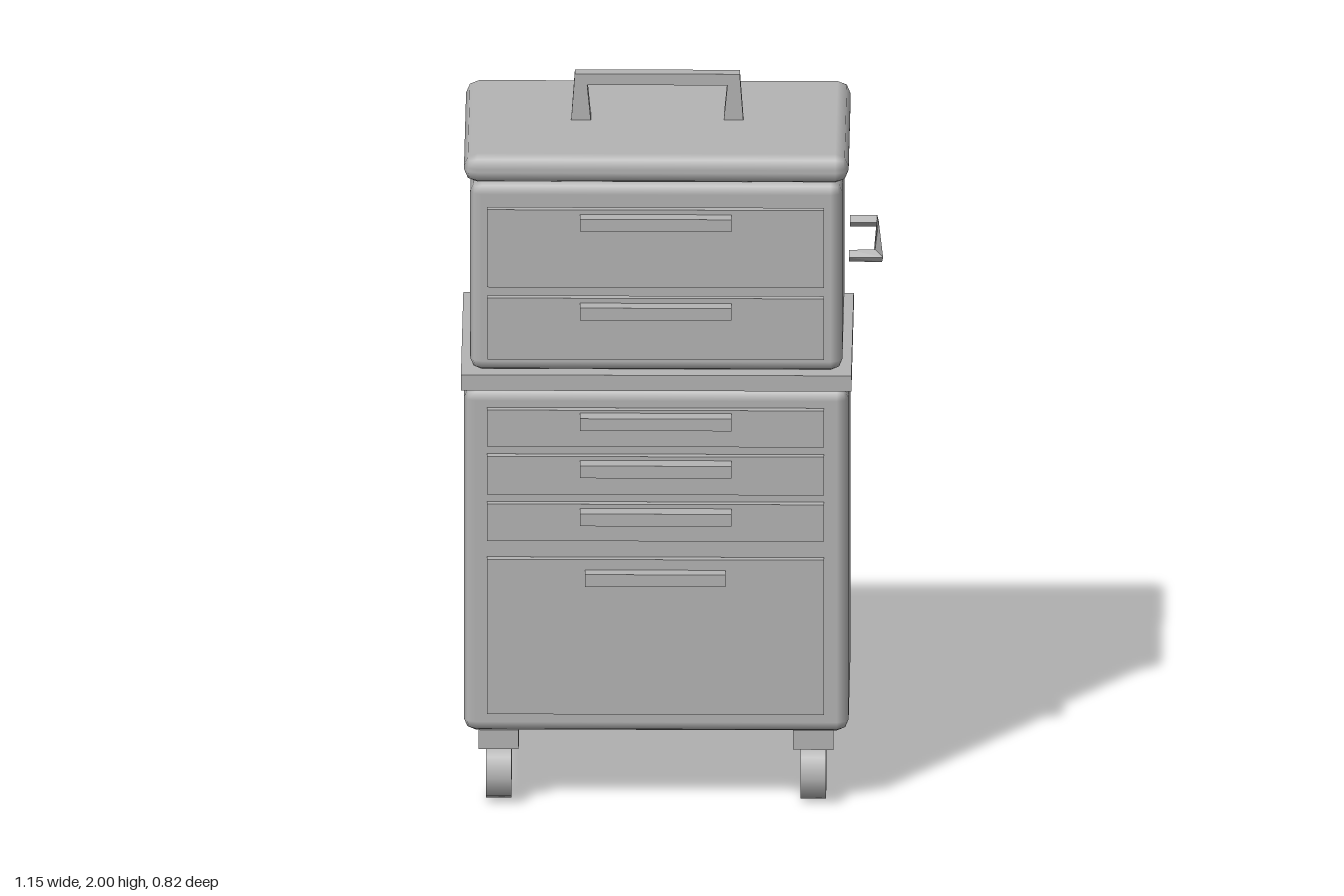
import * as THREE from 'three';
import { RoundedBoxGeometry } from 'three/addons/geometries/RoundedBoxGeometry.js';

export function createModel() {
  const root = new THREE.Group();
  root.name = 'rollingToolCabinet';
  const grey = new THREE.MeshStandardMaterial({ color: 0xb4b4b4, side: THREE.DoubleSide });
  grey.name = 'plain grey';

  const add = (name, geometry) => {
    const mesh = new THREE.Mesh(geometry, grey);
    mesh.name = name;
    root.add(mesh);
    return mesh;
  };
  // Box given by its limits on each axis; a radius rounds its edges
  const block = (name, [x0, x1], [y0, y1], [z0, z1], radius = 0) => {
    const size = [x1 - x0, y1 - y0, z1 - z0];
    const geometry = radius
      ? new RoundedBoxGeometry(...size, 1, radius)
      : new THREE.BoxGeometry(...size);
    add(name, geometry).position.set((x0 + x1) / 2, (y0 + y1) / 2, (z0 + z1) / 2);
  };

  // Cabinet bodies, shelf between them and lid
  block('lowerCabinet', [-0.572, 0.482], [0.213, 1.2], [-0.4, 0.333], 0.032);
  block('shelf', [-0.58, 0.49], [1.2, 1.245], [-0.41, 0.342]);
  block('upperCabinet', [-0.555, 0.465], [1.245, 1.788], [-0.384, 0.318], 0.032);
  block('lid', [-0.572, 0.482], [1.787, 1.868], [-0.401, 0.333], 0.036);

  // Drawers: bottom, top, front of panel, bottom of pull
  const drawers = [
    [1.505, 1.728, 0.367, 1.68], [1.298, 1.474, 0.367, 1.425],
    [1.045, 1.15, 0.361, 1.107], [0.907, 1.017, 0.361, 0.971],
    [0.774, 0.88, 0.361, 0.833], [0.276, 0.721, 0.361, 0.656],
  ];
  drawers.forEach(([y0, y1, z, pull], i) => {
    const last = i === drawers.length - 1;
    block('drawer' + (i + 1), [-0.509, 0.415], [y0, y1], [z - 0.024, z]);
    block('drawerPull' + (i + 1), last ? [-0.24, 0.145] : [-0.253, 0.162],
      [pull, pull + 0.035], [z, last ? 0.403 : 0.412]);
  });

  // Casters: mounting plate and eight-sided wheel
  const wheel = new THREE.CylinderGeometry(0.079, 0.079, 0.07, 8).rotateZ(Math.PI / 2);
  for (const x of [-0.477, 0.385]) {
    for (const z of [0.255, -0.32]) {
      block('casterPlate', [x - 0.055, x + 0.055], [0.16, 0.215], [z - 0.056, z + 0.056]);
      add('casterWheel', wheel).position.set(x, 0.081, z);
    }
  }

  // Lid handle: an arch with tapered legs, bevelled toward the back
  const cx = -0.045;
  const arch = new THREE.Shape([
    [-0.236, 1.865], [-0.226, 2], [0.226, 2], [0.236, 1.865],
    [0.182, 1.865], [0.192, 1.968], [-0.192, 1.968], [-0.182, 1.865],
  ].map(([x, y]) => new THREE.Vector2(x, y)));
  const handle = new THREE.ExtrudeGeometry(arch, { depth: 0.06, steps: 3, bevelEnabled: false });
  const p = handle.attributes.position;
  for (let i = 0; i < p.count; i++) {
    const x = p.getX(i), y = p.getY(i);
    if (p.getZ(i) < 0.01 && Math.abs(x) > 0.21) {
      p.setX(i, x - Math.sign(x) * 0.018);
      if (y > 1.99) p.setY(i, y - 0.015);
    }
  }
  handle.translate(cx, 0, -0.068);
  handle.computeVertexNormals();
  add('lidHandle', handle);

  // Side handle: four-cornered rings along a bent, twisting bar
  const rings = [
    [[0.482, 1.522, 0.145], [0.482, 1.505, 0.125], [0.482, 1.52, 0.106], [0.482, 1.538, 0.125]],
    [[0.575, 1.522, 0.14], [0.572, 1.505, 0.13], [0.548, 1.515, 0.112], [0.553, 1.538, 0.118]],
    [[0.56, 1.515, -0.212], [0.56, 1.505, -0.19], [0.556, 1.522, -0.176], [0.556, 1.536, -0.198]],
    [[0.482, 1.515, -0.212], [0.482, 1.505, -0.19], [0.482, 1.522, -0.176], [0.482, 1.536, -0.198]],
  ];
  const points = [];
  const quad = (a, b, c, d) => points.push(...a, ...b, ...c, ...a, ...c, ...d);
  for (let i = 0; i < 3; i++) {
    for (let j = 0; j < 4; j++) {
      const k = (j + 1) % 4;
      quad(rings[i][j], rings[i + 1][j], rings[i + 1][k], rings[i][k]);
    }
  }
  quad(...rings[0]);
  quad(...[...rings[3]].reverse());
  const side = new THREE.BufferGeometry();
  side.setAttribute('position', new THREE.Float32BufferAttribute(points, 3));
  side.computeVertexNormals();
  // Turn the surface outward if the rings run the other way
  const n = side.attributes.normal;
  if (n.getX(6 * 4) < 0) {
    for (let i = 0; i < points.length; i += 9) {
      for (let k = 0; k < 3; k++) {
        [points[i + 3 + k], points[i + 6 + k]] = [points[i + 6 + k], points[i + 3 + k]];
      }
    }
    side.setAttribute('position', new THREE.Float32BufferAttribute(points, 3));
    side.computeVertexNormals();
  }
  add('sideHandle', side);

  return root;
}
